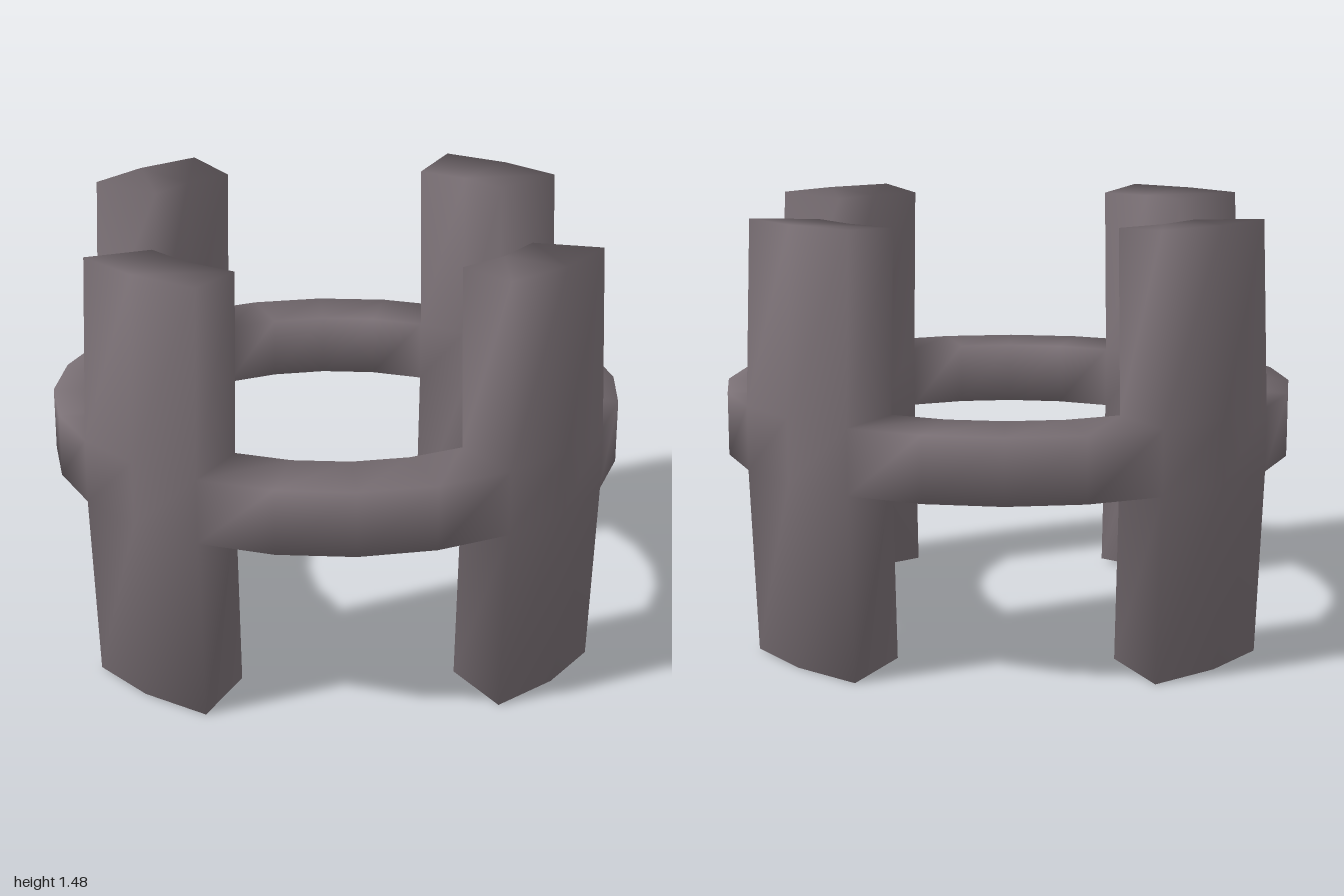
import * as THREE from 'three';
import { mergeVertices } from 'three/addons/utils/BufferGeometryUtils.js';

// Ring band with four upright posts growing out of it above and below
const SEGMENTS = 24;
// [outer radius, outer y, inner radius, inner y] at each height
const LEVELS = [
  [0.975, 0, 0.725, 0.015],
  [1, 0.63, 0.745, 0.63],
  [1, 0.85, 0.745, 0.85],
  [0.975, 1.475, 0.725, 1.46],
];

function point(i, level, inner) {
  const a = ((i % SEGMENTS) / SEGMENTS) * Math.PI * 2;
  const r = LEVELS[level][inner ? 2 : 0];
  const y = LEVELS[level][inner ? 3 : 1];
  return [r * Math.sin(a), y, r * Math.cos(a)];
}

function buildGeometry() {
  const positions = [];
  const quad = (a, b, c, d) => positions.push(...a, ...b, ...c, ...a, ...c, ...d);
  const outer = (i, l) => point(i, l, false);
  const inner = (i, l) => point(i, l, true);

  for (let i = 0; i < SEGMENTS; i++) {
    const j = i + 1;
    const left = i % 6 === 5; // first half of a post
    const right = i % 6 === 0; // second half of a post
    const post = left || right;
    const low = post ? 0 : 1;
    const high = post ? 3 : 2;

    // outer and inner walls
    for (let l = low; l < high; l++) {
      quad(outer(i, l), outer(j, l), outer(j, l + 1), outer(i, l + 1));
      quad(inner(j, l), inner(i, l), inner(i, l + 1), inner(j, l + 1));
    }
    // top and bottom caps
    quad(outer(i, high), outer(j, high), inner(j, high), inner(i, high));
    quad(inner(i, low), inner(j, low), outer(j, low), outer(i, low));
    // post sides, above and below the ring
    for (const l of [0, 2]) {
      if (left) quad(inner(i, l), outer(i, l), outer(i, l + 1), inner(i, l + 1));
      if (right) quad(outer(j, l), inner(j, l), inner(j, l + 1), outer(j, l + 1));
    }
  }

  // welded so that shading is smooth across the whole body
  const soup = new THREE.BufferGeometry();
  soup.setAttribute('position', new THREE.Float32BufferAttribute(positions, 3));
  const geometry = mergeVertices(soup, 1e-4);
  geometry.computeVertexNormals();
  return geometry;
}

export function createModel() {
  const group = new THREE.Group();
  group.name = 'postedRing';
  const material = new THREE.MeshStandardMaterial({ color: 0x7a7075 });
  material.name = 'warm grey';
  const body = new THREE.Mesh(buildGeometry(), material);
  body.name = 'ringWithPosts';
  group.add(body);
  return group;
}
